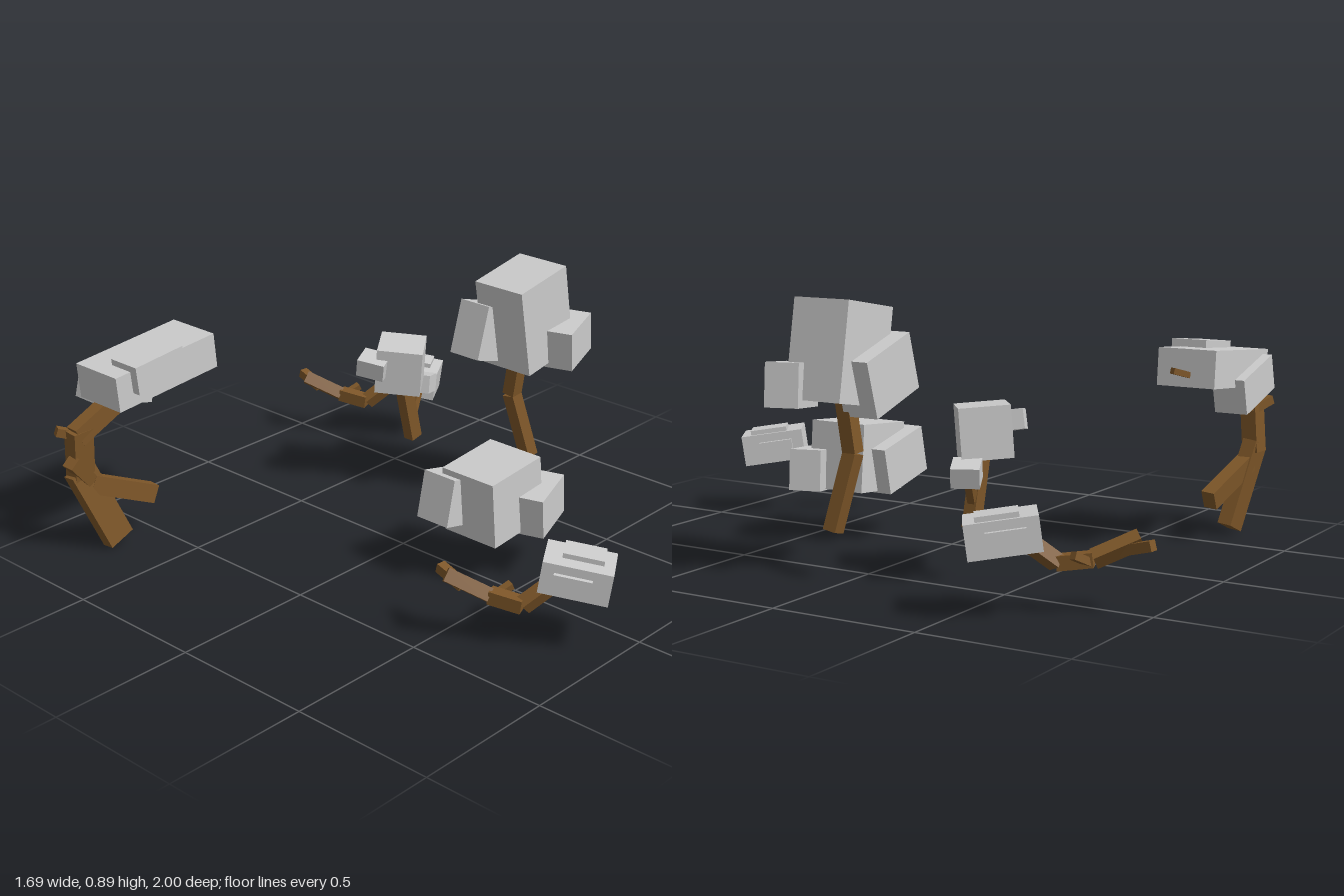
import * as THREE from 'three';

const leafMat = new THREE.MeshStandardMaterial({ color: 0xcccccc, flatShading: true });
const barkMat = new THREE.MeshStandardMaterial({ color: 0x7d5628, flatShading: true });
const rad = THREE.MathUtils.degToRad;

// Foliage block: size, centre, rotation in degrees
function block(parent, name, size, pos, rot = [0, 0, 0], order = 'YXZ') {
  const mesh = new THREE.Mesh(new THREE.BoxGeometry(...size), leafMat);
  mesh.name = name;
  mesh.position.set(...pos);
  mesh.rotation.set(rad(rot[0]), rad(rot[1]), rad(rot[2]), order);
  parent.add(mesh);
}

// Square wooden beam between two points
function limb(parent, name, from, to, thick, deep = thick) {
  const a = new THREE.Vector3(...from), b = new THREE.Vector3(...to);
  const dir = b.clone().sub(a), len = dir.length();
  dir.normalize();
  const ref = Math.abs(dir.y) > 0.4 ? new THREE.Vector3(0, 0, 1) : new THREE.Vector3(0, 1, 0);
  const x = new THREE.Vector3().crossVectors(dir, ref).normalize();
  const z = new THREE.Vector3().crossVectors(x, dir);
  const mesh = new THREE.Mesh(new THREE.BoxGeometry(thick, len, deep), barkMat);
  mesh.name = name;
  mesh.quaternion.setFromRotationMatrix(new THREE.Matrix4().makeBasis(x, dir, z));
  mesh.position.copy(a).add(b).multiplyScalar(0.5);
  parent.add(mesh);
}

// Chain of beams through a list of points
function limbs(parent, name, pts, thick) {
  for (let i = 1; i < pts.length; i++) limb(parent, name, pts[i - 1], pts[i], thick);
}

function group(parent, name) {
  const g = new THREE.Group();
  g.name = name;
  parent.add(g);
  return g;
}

// Forked tree with a long flat crown
function forkedTree(parent) {
  const g = group(parent, 'forkedTree');
  limb(g, 'trunkBase', [-0.66, 0.025, -0.73], [-0.775, 0.31, -0.77], 0.1, 0.05);
  limb(g, 'trunkMiddle', [-0.77, 0.28, -0.77], [-0.775, 0.46, -0.755], 0.08, 0.055);
  limb(g, 'trunkTop', [-0.79, 0.44, -0.755], [-0.56, 0.55, -0.745], 0.07, 0.05);
  limb(g, 'sideRoot', [-0.74, 0.25, -0.76], [-0.505, 0.145, -0.72], 0.065, 0.05);
  limb(g, 'lowerTwig', [-0.825, 0.36, -0.745], [-0.74, 0.26, -0.76], 0.045);
  limb(g, 'upperTwig', [-0.835, 0.46, -0.8], [-0.76, 0.43, -0.765], 0.03);
  limb(g, 'crownTwig', [-0.32, 0.59, -0.77], [-0.205, 0.625, -0.715], 0.02);
  block(g, 'crown', [0.435, 0.125, 0.205], [-0.48, 0.61, -0.737], [0, 0, 5]);
  block(g, 'crownFront', [0.205, 0.1, 0.125], [-0.535, 0.642, -0.665], [0, 0, 6]);
  block(g, 'crownBack', [0.242, 0.122, 0.115], [-0.557, 0.55, -0.815], [0, 0, -15]);
}

// Tall tree with a bent trunk
function tallTree(parent) {
  const g = group(parent, 'tallTree');
  limbs(g, 'trunk', [[0.607, 0.155, 0.06], [0.555, 0.4, 0.018], [0.563, 0.6, 0.045]], 0.048);
  block(g, 'crown', [0.244, 0.317, 0.205], [0.552, 0.713, 0.068], [0, 0, 10]);
  block(g, 'crownBack', [0.246, 0.19, 0.125], [0.49, 0.645, -0.03], [0, 0, -17]);
  block(g, 'crownFront', [0.19, 0.14, 0.11], [0.658, 0.617, 0.175], [0, 17, 6]);
}

// Mid-size tree with two small side tufts
function smallTree(parent) {
  const g = group(parent, 'smallTree');
  limb(g, 'trunk', [0.415, 0.175, -0.33], [0.36, 0.43, -0.335], 0.05, 0.042);
  limb(g, 'branch', [0.4, 0.24, -0.33], [0.475, 0.355, -0.355], 0.026);
  block(g, 'crown', [0.17, 0.165, 0.163], [0.357, 0.475, -0.339], [4, 37, 3]);
  block(g, 'leftTuft', [0.09, 0.065, 0.09], [0.485, 0.362, -0.355], [0, 25, -14]);
  block(g, 'rightTuft', [0.09, 0.065, 0.1], [0.25, 0.495, -0.37], [8, 25, 10]);
}

// Low bush without a trunk
function bush(parent) {
  const g = group(parent, 'bush');
  block(g, 'bushCore', [0.245, 0.232, 0.214], [0.055, 0.29, 0.35], [0, 0, 5]);
  block(g, 'bushBack', [0.234, 0.161, 0.13], [-0.008, 0.275, 0.255], [0, 0, -13]);
  block(g, 'bushFront', [0.19, 0.14, 0.11], [0.165, 0.247, 0.455], [0, 17, 6]);
}

// Twisted shrub growing sideways from a crooked stem
function crookedShrub(parent, x, z) {
  const g = group(parent, 'crookedShrub');
  limbs(g, 'stem', [[-0.385, 0.225, 0.53], [-0.31, 0.165, 0.645], [-0.27, 0.15, 0.745], [-0.17, 0.25, 0.83]], 0.045);
  limb(g, 'stemTip', [-0.347, 0.218, 0.472], [-0.355, 0.19, 0.575], 0.032);
  limb(g, 'twig', [-0.3, 0.155, 0.65], [-0.24, 0.185, 0.675], 0.024);
  const crown = group(g, 'crown');
  crown.position.set(-0.14, 0.25, 0.853);
  crown.rotation.set(rad(8), rad(32), 0, 'YXZ');
  block(crown, 'crownCore', [0.155, 0.108, 0.22], [0, 0, 0]);
  block(crown, 'crownSides', [0.185, 0.05, 0.12], [0, 0, -0.01]);
  block(crown, 'crownTop', [0.09, 0.05, 0.13], [0.02, 0.045, 0.01]);
  g.position.set(x, 0, z);
}

export function createModel() {
  const model = new THREE.Group();
  model.name = 'treeCluster';
  forkedTree(model);
  tallTree(model);
  smallTree(model);
  bush(model);
  for (const [x, z] of [[0, 0], [0.857, -1.472]]) crookedShrub(model, x, z);
  return model;
}
